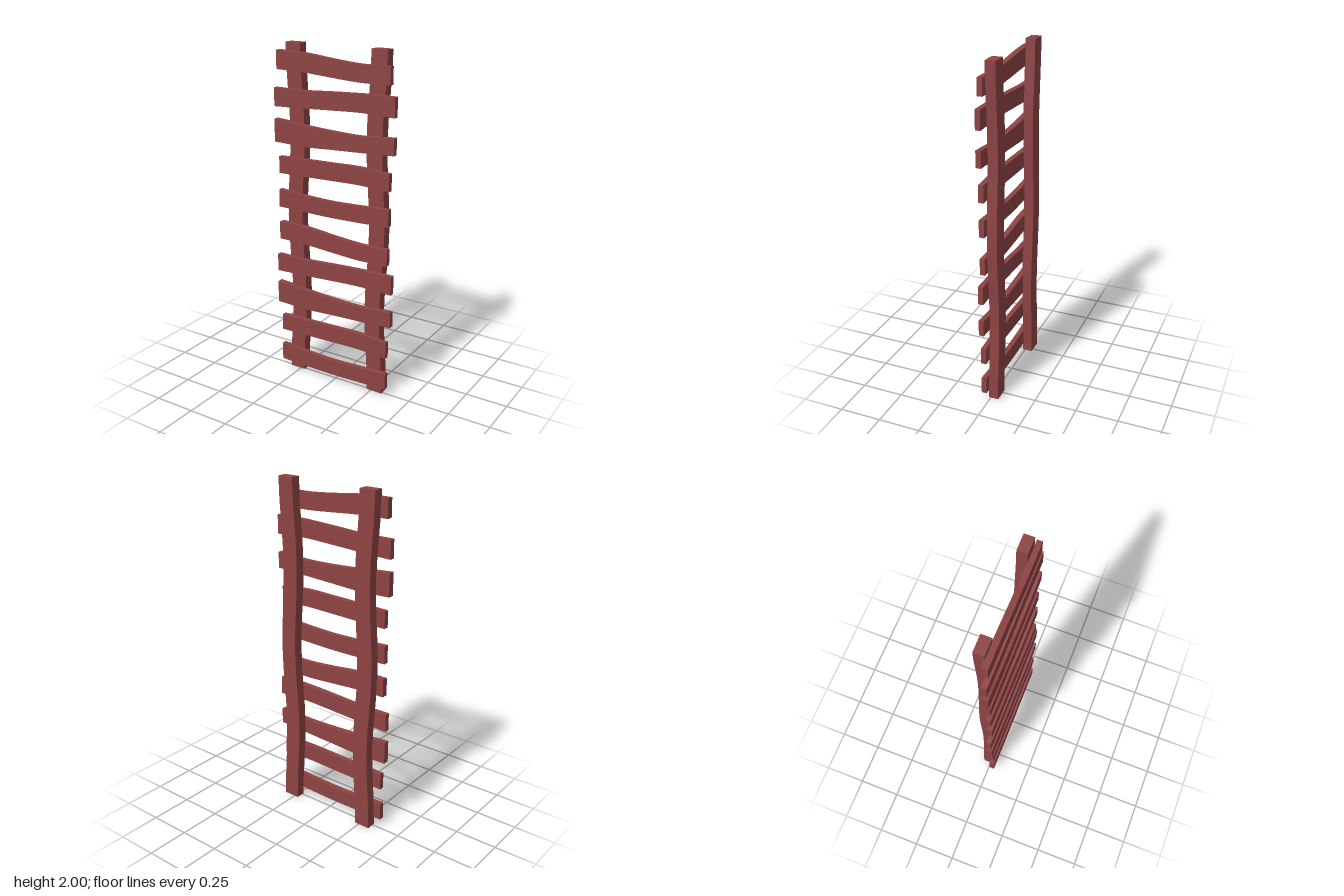
import * as THREE from 'three';
import { toCreasedNormals } from 'three/addons/utils/BufferGeometryUtils.js';

const wood = new THREE.MeshStandardMaterial({ color: 0x8e4343 });

// smooth curve through evenly spaced values, t from 0 to 1
function spline(values) {
  const curve = new THREE.SplineCurve(values.map((v, i) => new THREE.Vector2(i, v)));
  return (t) => curve.getPoint(t).y;
}

// bend a segmented box with a rule on its vertices, keeping the long edges sharp
function bentBox(name, geometry, rule) {
  const pos = geometry.attributes.position;
  const p = new THREE.Vector3();
  for (let i = 0; i < pos.count; i++) {
    rule(p.fromBufferAttribute(pos, i));
    pos.setXYZ(i, p.x, p.y, p.z);
  }
  const mesh = new THREE.Mesh(toCreasedNormals(geometry, 0.6), wood);
  mesh.name = name;
  return mesh;
}

// upright rail that waves inward twice along its height
function rail(name, side) {
  return bentBox(name, new THREE.BoxGeometry(0.097, 2, 0.058, 1, 16, 1), (p) => {
    p.y += 1;
    p.x += side * (0.2615 + 0.0115 * Math.cos(2 * Math.PI * p.y));
    p.z -= 0.017;
  });
}

// uneven plank: top and bottom edge heights at five stations from -x to +x
function rung(name, { x0, x1, top, bottom, z0 = 0.011, z1 = 0.041 }, lift) {
  const topEdge = spline(top), bottomEdge = spline(bottom);
  return bentBox(name, new THREE.BoxGeometry(1, 1, 1, 12, 1, 1), (p) => {
    const t = p.x + 0.5;
    p.x = x0 + (x1 - x0) * t;
    p.y = lift + (p.y > 0 ? topEdge(t) : bottomEdge(t));
    // planks are slightly thicker toward -x
    const extra = z0 < 0.011 ? 0.003 * (1 - t) : 0;
    p.z = p.z > 0 ? z1 + extra : 0.011 - extra;
  });
}

// five plank shapes, used once in each half of the ladder
const planks = [
  { x0: -0.365, x1: 0.36, top: [0.155, 0.142, 0.137, 0.143, 0.153], bottom: [0.049, 0.045, 0.043, 0.047, 0.053] },
  { x0: -0.36, x1: 0.36, top: [0.353, 0.357, 0.361, 0.364, 0.353], bottom: [0.254, 0.257, 0.261, 0.264, 0.254] },
  { x0: -0.385, x1: 0.385, top: [0.57, 0.553, 0.541, 0.537, 0.551], bottom: [0.437, 0.431, 0.439, 0.447, 0.456], z0: 0.008 },
  { x0: -0.385, x1: 0.385, top: [0.747, 0.747, 0.757, 0.765, 0.767], bottom: [0.641, 0.648, 0.657, 0.664, 0.657] },
  { x0: -0.363, x1: 0.356, top: [0.957, 0.952, 0.933, 0.919, 0.921], bottom: [0.851, 0.847, 0.834, 0.823, 0.825], z0: 0.008 },
];

export function createModel() {
  const ladder = new THREE.Group();
  ladder.name = 'ladder';
  ladder.add(rail('leftRail', 1), rail('rightRail', -1));
  for (let half = 0; half < 2; half++) {
    planks.forEach((plank, i) => ladder.add(rung(`rung${half * 5 + i + 1}`, plank, half)));
  }
  return ladder;
}
